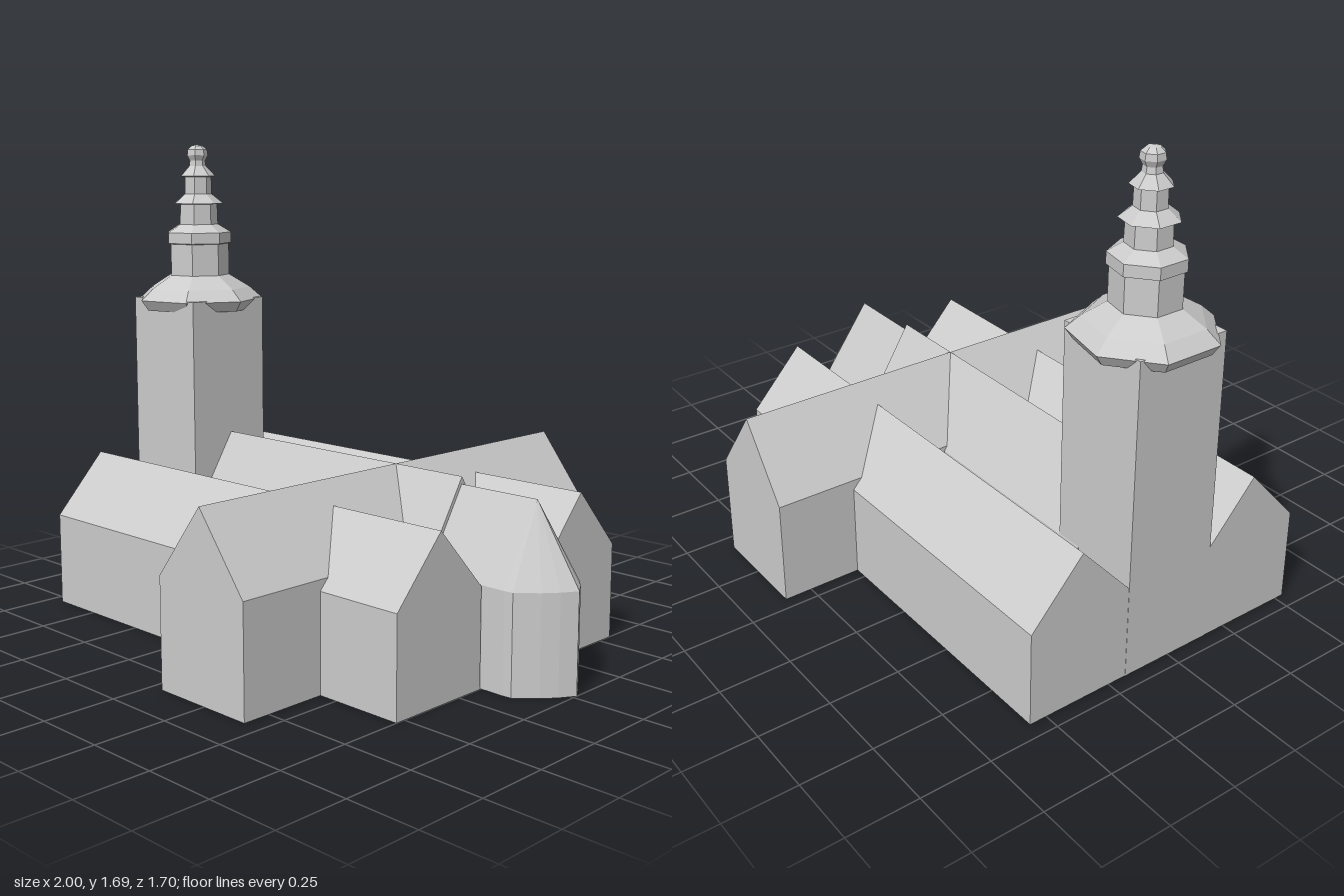
import * as THREE from 'three';

const material = new THREE.MeshStandardMaterial({ color: 0xcccccc, flatShading: true });
const wallMaterial = new THREE.MeshStandardMaterial({ color: 0xcccccc, flatShading: true, side: THREE.DoubleSide });

function part(name, geometry, mat = material) {
  const mesh = new THREE.Mesh(geometry, mat);
  mesh.name = name;
  return mesh;
}

// Gabled block running along z, centred on its own axis, standing on y = 0
function gabledBlock(width, eave, ridge, length) {
  const w = width / 2;
  const shape = new THREE.Shape([
    new THREE.Vector2(-w, 0), new THREE.Vector2(w, 0), new THREE.Vector2(w, eave),
    new THREE.Vector2(0, ridge), new THREE.Vector2(-w, eave),
  ]);
  return new THREE.ExtrudeGeometry(shape, { depth: length, bevelEnabled: false }).translate(0, 0, -length / 2);
}

// The same block running along x from x0 to x1 and spanning z0 to z1
function gableAlongX(name, x0, x1, z0, z1, eave, ridge) {
  const geometry = gabledBlock(z1 - z0, eave, ridge, x1 - x0).rotateY(Math.PI / 2);
  return part(name, geometry.translate((x0 + x1) / 2, 0, (z0 + z1) / 2));
}

// Pointed apse: walls follow the plan, roof facets fan down from one apex
function apse(centreZ, half, eave, ridge) {
  const side = [[0.835, half], [0.866, half - 0.003], [0.93, 0.098], [0.968, 0.052]];
  const plan = [...side, [1, 0], ...side.map(([x, z]) => [x, -z]).reverse()];
  const positions = [];
  for (let i = 0; i < plan.length - 1; i++) {
    const [ax, az] = plan[i];
    const [bx, bz] = plan[i + 1];
    positions.push(ax, 0, az, bx, 0, bz, bx, eave, bz);
    positions.push(ax, 0, az, bx, eave, bz, ax, eave, az);
    positions.push(ax, eave, az, bx, eave, bz, 0.835, ridge, 0);
    positions.push(ax, 0, az, 0.835, 0, 0, bx, 0, bz);
  }
  const geometry = new THREE.BufferGeometry();
  geometry.setAttribute('position', new THREE.Float32BufferAttribute(positions, 3));
  geometry.computeVertexNormals();
  return part('apse', geometry.translate(0, 0, centreZ), wallMaterial);
}

// Seven-sided stepped spire, turned so one corner points to +x
function spire() {
  const profile = [
    [0, 1.077], [0.213, 1.077], [0.24, 1.115], [0.193, 1.157], // gallery
    [0.115, 1.205], [0.115, 1.322], // lower drum
    [0.124, 1.325], [0.124, 1.365], [0.075, 1.395], [0.073, 1.47], // middle drum
    [0.096, 1.473], [0.053, 1.508], [0.052, 1.572], // upper drum
    [0.068, 1.575], [0.033, 1.612], [0.03, 1.632], // neck
    [0.041, 1.652], [0.038, 1.673], [0.022, 1.687], [0, 1.692], // finial
  ].map(([r, y]) => new THREE.Vector2(r, y));
  const mesh = part('spire', new THREE.LatheGeometry(profile, 7, Math.PI / 2));
  mesh.position.set(-0.785, 0, -0.02);
  return mesh;
}

export function createModel() {
  const group = new THREE.Group();
  group.name = 'church';

  // Three parallel halls
  group.add(gableAlongX('nave', -0.7, 0.53, -0.182, 0.148, 0.352, 0.62));
  group.add(gableAlongX('leftAisle', -0.945, 0.75, 0.148, 0.534, 0.333, 0.545));
  group.add(gableAlongX('rightAisle', -0.945, 0.75, -0.562, -0.178, 0.333, 0.545));

  // Crossing transept
  const transept = part('transept', gabledBlock(0.386, 0.37, 0.62, 1.696));
  transept.position.x = 0.24;
  group.add(transept);

  // Choir and apse
  group.add(gableAlongX('choir', 0.5, 0.835, -0.175, 0.143, 0.335, 0.595));
  group.add(apse(-0.016, 0.159, 0.335, 0.595));

  // Bell tower
  const tower = part('tower', new THREE.BoxGeometry(0.342, 1.12, 0.342));
  tower.position.set(-0.775, 0.56, -0.01);
  group.add(tower, spire());

  return group;
}
